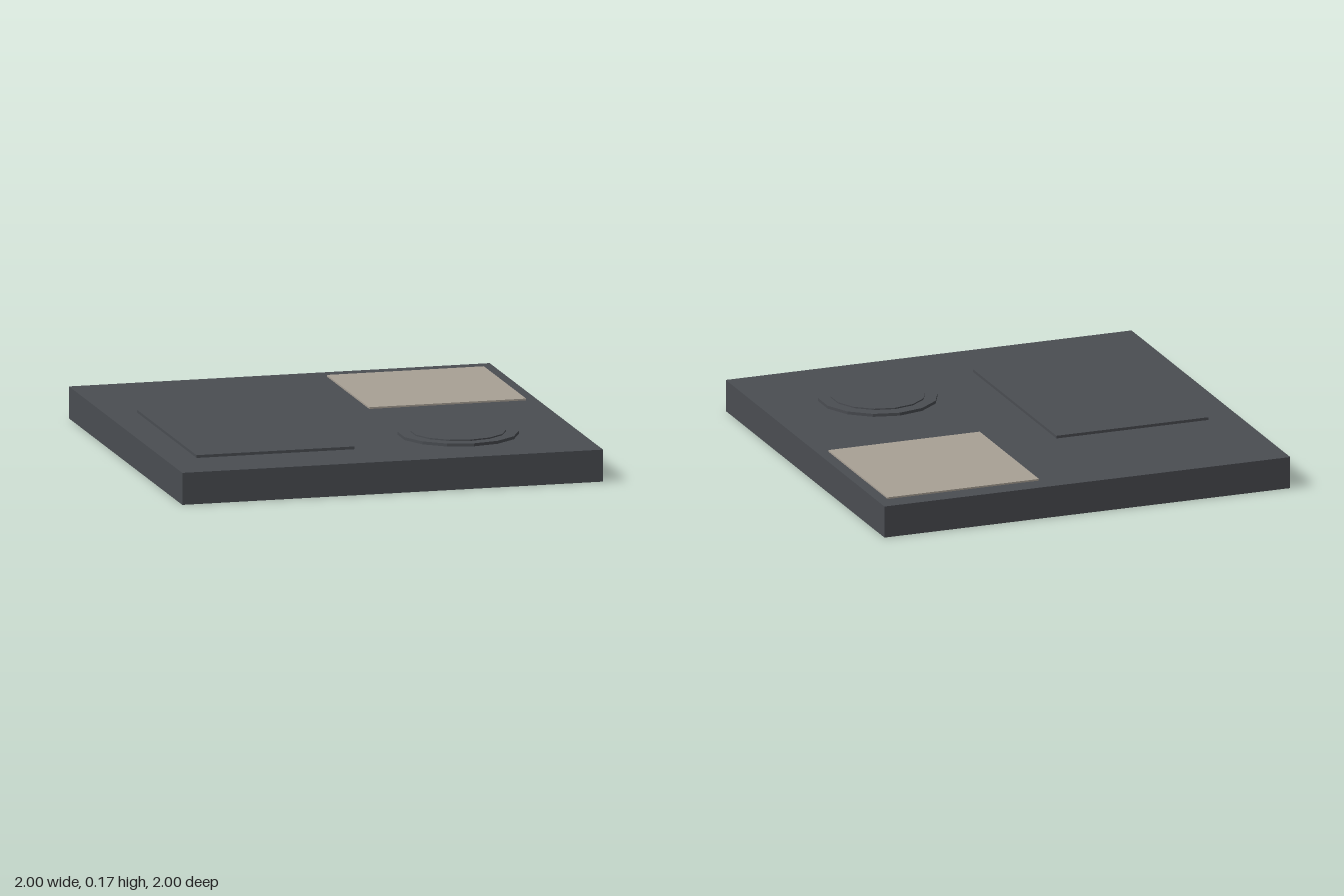
import * as THREE from 'three';

export function createModel() {
  const group = new THREE.Group();
  const slate = new THREE.MeshStandardMaterial({ name: 'slate grey', color: 0x4a4d52 });
  const beige = new THREE.MeshStandardMaterial({ name: 'warm beige', color: 0xa8a095 });
  slate.flatShading = true;

  const TOP = 0.15; // upper surface of the slab

  function add(name, geometry, material, x, y, z) {
    const mesh = new THREE.Mesh(geometry, material);
    mesh.name = name;
    mesh.position.set(x, y, z);
    group.add(mesh);
  }

  // A box given by its extents in x, y and z
  function slab(name, material, [x0, x1], [y0, y1], [z0, z1]) {
    add(name, new THREE.BoxGeometry(x1 - x0, y1 - y0, z1 - z0), material,
      (x0 + x1) / 2, (y0 + y1) / 2, (z0 + z1) / 2);
  }

  // A low 14-sided disc standing on height y0
  function disc(name, radius, y0, y1) {
    add(name, new THREE.CylinderGeometry(radius, radius, y1 - y0, 14), slate,
      0.447, (y0 + y1) / 2, 0.498);
  }

  // Square base with two raised panels
  slab('base', slate, [-1, 1], [0, TOP], [-1, 1]);
  slab('rectangularPanel', slate, [-0.85, -0.1], [TOP, 0.163], [-0.355, 0.695]);
  slab('squarePanel', beige, [0.2, 0.946], [TOP, 0.158], [-0.903, -0.155]);

  // Stepped round cover
  disc('coverRim', 0.278, TOP, 0.164);
  disc('coverLid', 0.22, 0.164, 0.17);

  return group;
}
